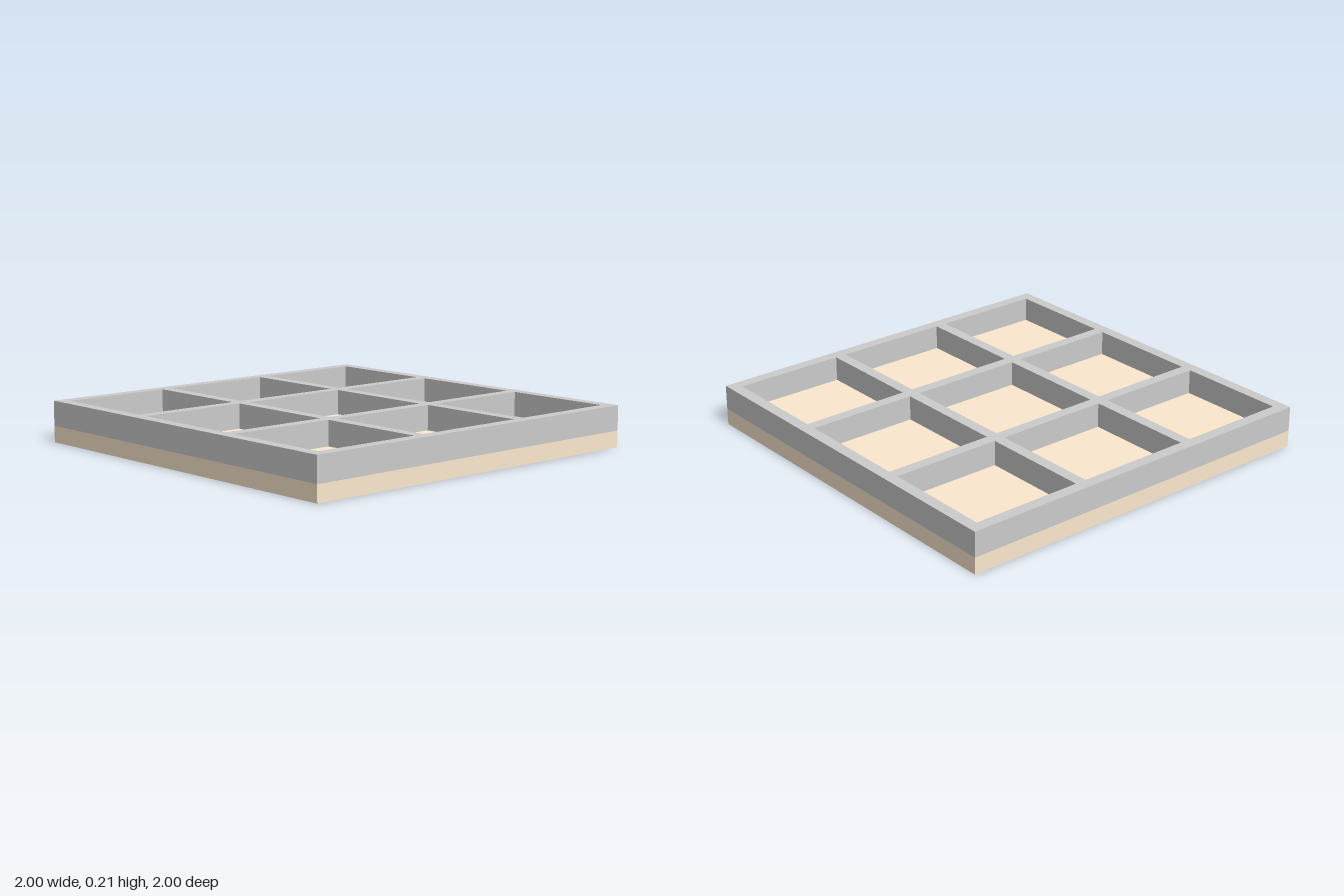
import * as THREE from 'three';

const BASE_H = 0.085, TOTAL_H = 0.213;
// Cell spans along each axis, between the rim and the dividers
const SPANS = [[-0.94, -0.362], [-0.303, 0.303], [0.362, 0.94]];

function rect(shape, x0, y0, x1, y1) {
  shape.moveTo(x0, y0);
  shape.lineTo(x1, y0);
  shape.lineTo(x1, y1);
  shape.lineTo(x0, y1);
  shape.closePath();
  return shape;
}

export function createModel() {
  const group = new THREE.Group();
  group.name = 'compartmentTray';

  // Solid base slab, which is also the floor of every compartment
  const base = new THREE.Mesh(
    new THREE.BoxGeometry(2, BASE_H, 2),
    new THREE.MeshStandardMaterial({ color: 0xfce8ce })
  );
  base.position.y = BASE_H / 2;
  base.name = 'base';
  group.add(base);

  // Rim and dividers: one slab pierced by a 3 x 3 grid of openings
  const outline = rect(new THREE.Shape(), -1, -1, 1, 1);
  for (const [x0, x1] of SPANS)
    for (const [y0, y1] of SPANS)
      outline.holes.push(rect(new THREE.Path(), x0, y0, x1, y1));
  const frame = new THREE.Mesh(
    new THREE.ExtrudeGeometry(outline, { depth: TOTAL_H - BASE_H, bevelEnabled: false }),
    new THREE.MeshStandardMaterial({ color: 0xcccccc })
  );
  frame.rotation.x = -Math.PI / 2;
  frame.position.y = BASE_H;
  frame.name = 'gridFrame';
  group.add(frame);

  return group;
}
